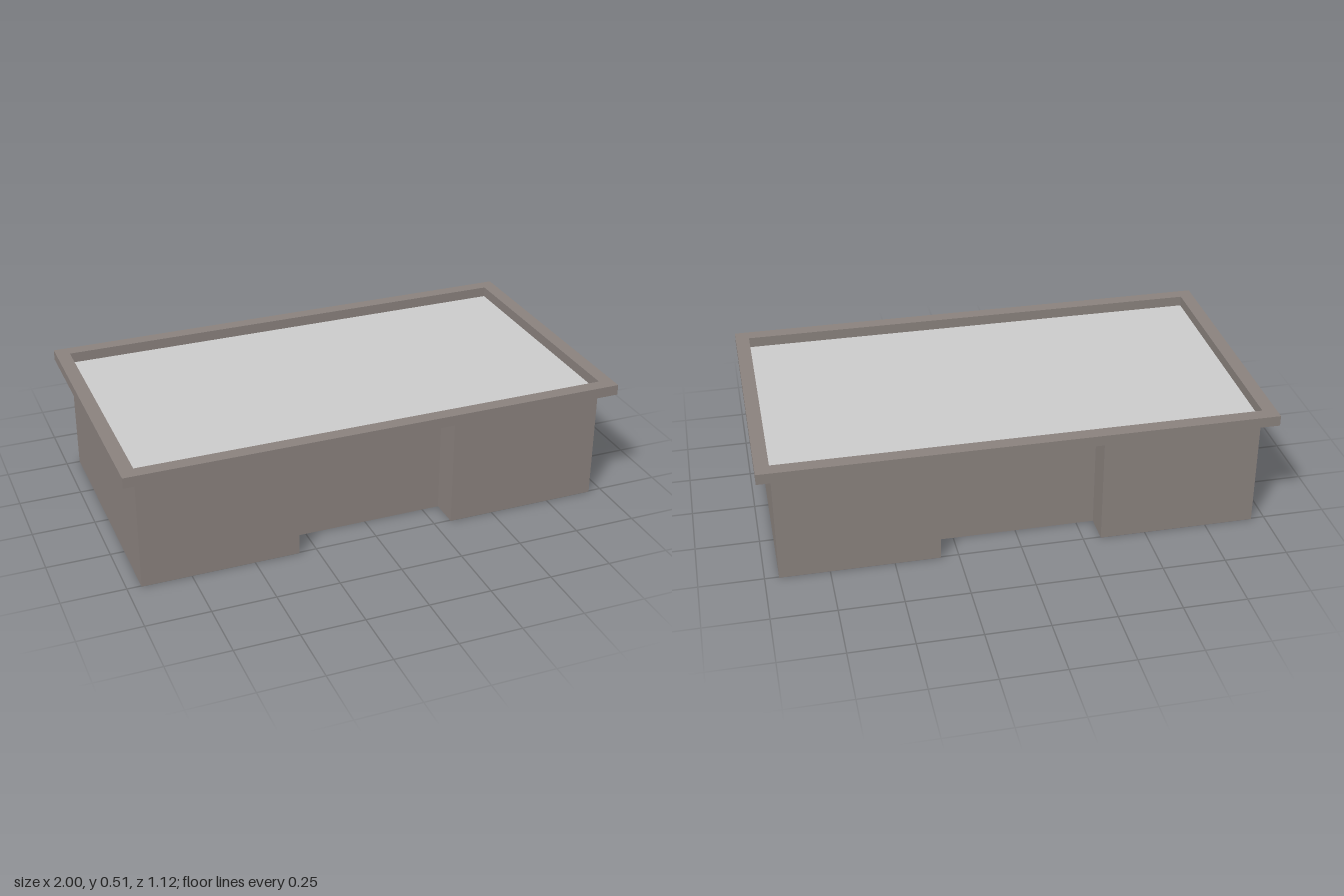
import * as THREE from 'three';

const WALL_X = 0.945, WALL_Z = 0.505;      // outer wall footprint
const RIM_X = 1, RIM_Z = 0.56;             // outer rim footprint
const WALL_TOP = 0.464, RIM_TOP = 0.506;
const BAY_X = 0.32, BAY_DEPTH = 0.12;      // recess in each long side

function rectPoints(x, z) {
  return [[-x, -z], [x, -z], [x, z], [-x, z]].map(([a, b]) => new THREE.Vector2(a, b));
}

export function createModel() {
  const group = new THREE.Group();
  const wallMaterial = new THREE.MeshStandardMaterial({ color: 0x8a827e, side: THREE.DoubleSide });
  wallMaterial.name = 'warm grey wall';
  const roofMaterial = new THREE.MeshStandardMaterial({ color: 0xcccccc, side: THREE.DoubleSide });
  roofMaterial.name = 'light grey roof';

  // Walls: one thin sheet per side of the outline, open underneath
  const half = [
    [WALL_X, WALL_Z], [BAY_X, WALL_Z], [BAY_X, WALL_Z - BAY_DEPTH],
    [-BAY_X, WALL_Z - BAY_DEPTH], [-BAY_X, WALL_Z], [-WALL_X, WALL_Z],
  ];
  const outline = [...half, ...half.map(([x, z]) => [-x, -z])];
  const walls = new THREE.Group();
  walls.name = 'walls';
  outline.forEach(([x0, z0], i) => {
    const [x1, z1] = outline[(i + 1) % outline.length];
    const length = Math.hypot(x1 - x0, z1 - z0);
    const wall = new THREE.Mesh(new THREE.PlaneGeometry(length, WALL_TOP), wallMaterial);
    wall.name = 'wallPanel';
    wall.position.set((x0 + x1) / 2, WALL_TOP / 2, (z0 + z1) / 2);
    // Turn each sheet so its front faces outwards
    wall.rotation.y = Math.atan2(z1 - z0, x0 - x1);
    walls.add(wall);
  });
  group.add(walls);

  // Flat roof, spanning the recesses too
  const roof = new THREE.Mesh(new THREE.PlaneGeometry(2 * WALL_X, 2 * WALL_Z), roofMaterial);
  roof.name = 'roof';
  roof.rotation.x = -Math.PI / 2;
  roof.position.y = WALL_TOP;
  group.add(roof);

  // Raised rim overhanging the walls
  const rimShape = new THREE.Shape(rectPoints(RIM_X, RIM_Z));
  rimShape.holes.push(new THREE.Path(rectPoints(WALL_X, WALL_Z)));
  const rim = new THREE.Mesh(
    new THREE.ExtrudeGeometry(rimShape, { depth: RIM_TOP - WALL_TOP, bevelEnabled: false }),
    wallMaterial,
  );
  rim.name = 'roofRim';
  rim.rotation.x = -Math.PI / 2;
  rim.position.y = WALL_TOP;
  group.add(rim);

  return group;
}
